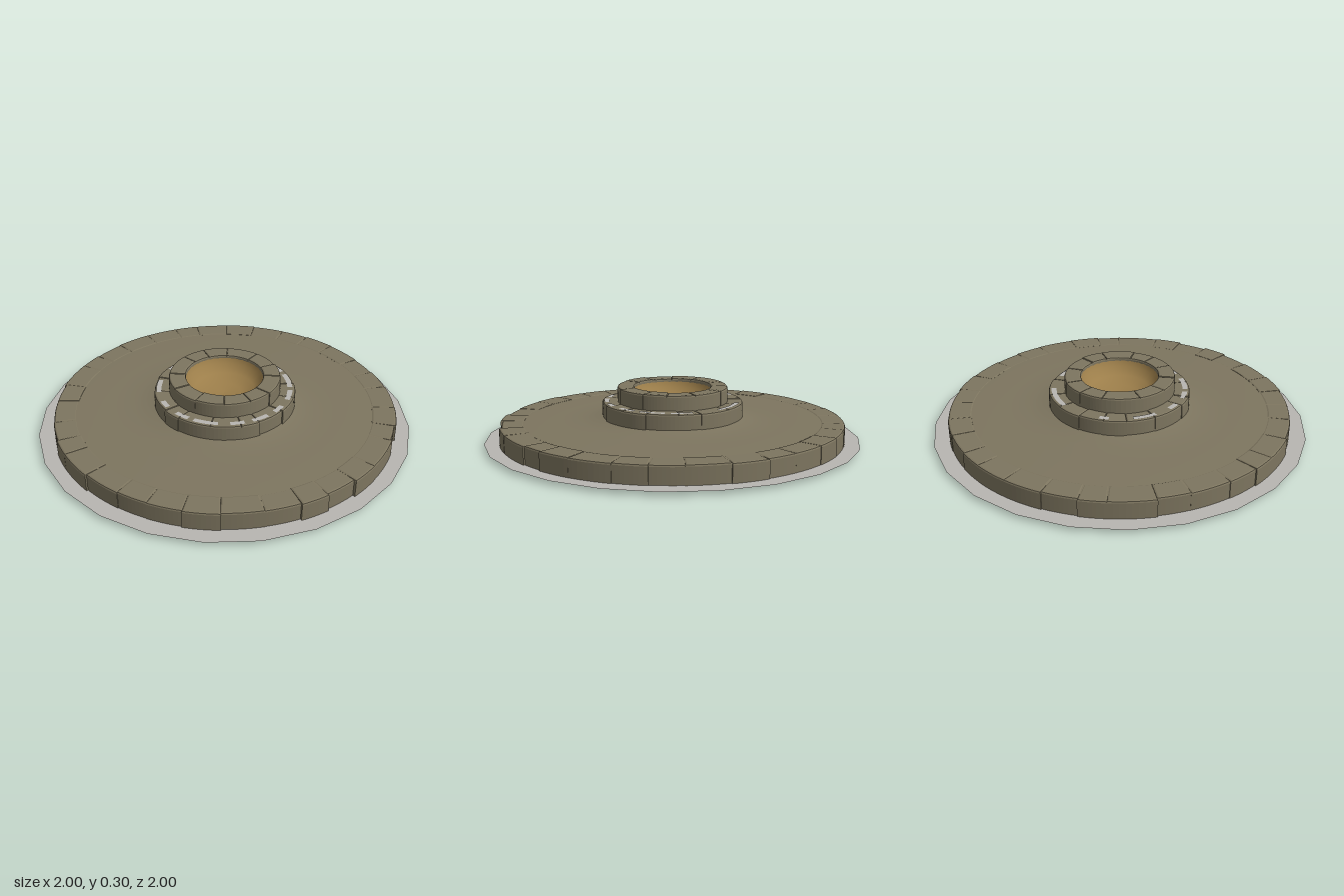
import * as THREE from 'three';

const mat = (name, color, side = THREE.FrontSide) => {
  const m = new THREE.MeshStandardMaterial({ color, side });
  m.name = name;
  return m;
};

// Small seeded generator for the uneven masonry
let seed = 7;
const rand = () => {
  seed = (seed * 16807) % 2147483647;
  return seed / 2147483647;
};
const jitter = (a) => (rand() * 2 - 1) * a;

export function createModel() {
  const model = new THREE.Group();
  model.name = 'stoneFountainBase';
  const stone = mat('stone', 0x7d755f, THREE.DoubleSide);
  const sand = mat('sand', 0x9c7e4a, THREE.DoubleSide);
  const mortar = mat('mortar', 0xb8b5b1, THREE.DoubleSide);

  const add = (name, geometry, material, parent = model) => {
    const mesh = new THREE.Mesh(geometry, material);
    mesh.name = name;
    parent.add(mesh);
    return mesh;
  };
  const lathe = (points, n) =>
    new THREE.LatheGeometry(points.map(([r, y]) => new THREE.Vector2(r, y)), n);

  // One bevelled curved block between two radii and two angles
  const block = (r0, r1, y0, y1, a0, a1) => {
    const bevel = 0.01;
    const shape = new THREE.Shape();
    shape.absarc(0, 0, r1, a0, a1, false);
    shape.absarc(0, 0, r0, a1, a0, true);
    const g = new THREE.ExtrudeGeometry(shape, {
      depth: y1 - y0 - 2 * bevel, bevelThickness: bevel, bevelSize: bevel,
      bevelOffset: -bevel, bevelSegments: 2, curveSegments: 4,
    });
    return g.rotateX(-Math.PI / 2).translate(0, y0 + bevel, 0);
  };

  // A course of slightly uneven blocks
  const course = (name, count, r0, r1, y0, y1, wobble) => {
    const group = new THREE.Group();
    group.name = name;
    const step = (Math.PI * 2) / count;
    const cuts = Array.from({ length: count }, (_, i) => (i + jitter(0.2)) * step);
    for (let i = 0; i < count; i++) {
      const end = i + 1 < count ? cuts[i + 1] : cuts[0] + Math.PI * 2;
      add('block', block(r0, r1 + jitter(wobble), y0 + rand() * 0.006, y1 + jitter(0.002),
        cuts[i] - 0.003, end + 0.003), stone, group);
    }
    model.add(group);
  };

  // Thin flat arc, angles in degrees
  const arc = (name, r0, r1, y, from, to, parent) => {
    const g = new THREE.RingGeometry(r0, r1, 8, 1,
      THREE.MathUtils.degToRad(from), THREE.MathUtils.degToRad(to - from));
    add(name, g.rotateX(-Math.PI / 2).translate(0, y, 0), mortar, parent);
  };

  // Flat ground disc
  add('groundDisc', new THREE.CircleGeometry(1, 24).rotateX(-Math.PI / 2).translate(0, 0.02, 0), mortar);

  // Solid slab rising gently toward the centre, with a slightly bulging underside
  add('slabUnderside', lathe([[0, 0.003], [0.3, 0.004], [0.4, 0.01], [0.89, 0.012]], 48), stone);
  add('slabSide', lathe([[0.89, 0.012], [0.895, 0.1]], 48), stone);
  add('slabTop', lathe([[0.895, 0.1], [0.87, 0.112], [0.6, 0.114], [0.48, 0.118], [0.4, 0.128], [0.355, 0.14]], 48), stone);
  course('rimBlocks', 32, 0.79, 0.914, 0.002, 0.115, 0.007);

  // Two stepped tiers around the well
  add('lowerTierCore', lathe([[0.362, 0.1], [0.362, 0.2], [0.35, 0.206], [0.25, 0.206]], 40), stone);
  course('lowerTierBlocks', 16, 0.26, 0.376, 0.1, 0.215, 0.004);
  add('upperTierCore', lathe([[0.285, 0.2], [0.285, 0.28], [0.27, 0.288], [0.225, 0.288], [0.212, 0.28], [0.212, 0.15]], 40), stone);
  course('upperTierBlocks', 12, 0.205, 0.296, 0.2, 0.296, 0.003);

  // Sandy bowl inside the well
  add('wellBowl', lathe([[0, 0.18], [0.09, 0.185], [0.16, 0.21], [0.196, 0.25], [0.207, 0.282]], 32), sand);

  // Broken pale mortar showing on the lower step
  const patches = new THREE.Group();
  patches.name = 'mortarPatches';
  model.add(patches);
  [[105, 139], [62, 80], [35, 57], [14, 30], [-8, 3], [-31, -16], [-50, -38], [-81, -60],
    [-99, -86], [-121, -111], [-156, -136], [176, 184]].forEach(([a, b]) =>
    arc('stepPatch', 0.337, 0.364, 0.2175, a, b, patches));

  // Pale patches beneath the slab
  for (let i = 0; i < 8; i++) arc('undersidePatch', 0.23, 0.272, 0.001, i * 45 - 13, i * 45 + 13, patches);

  return model;
}
